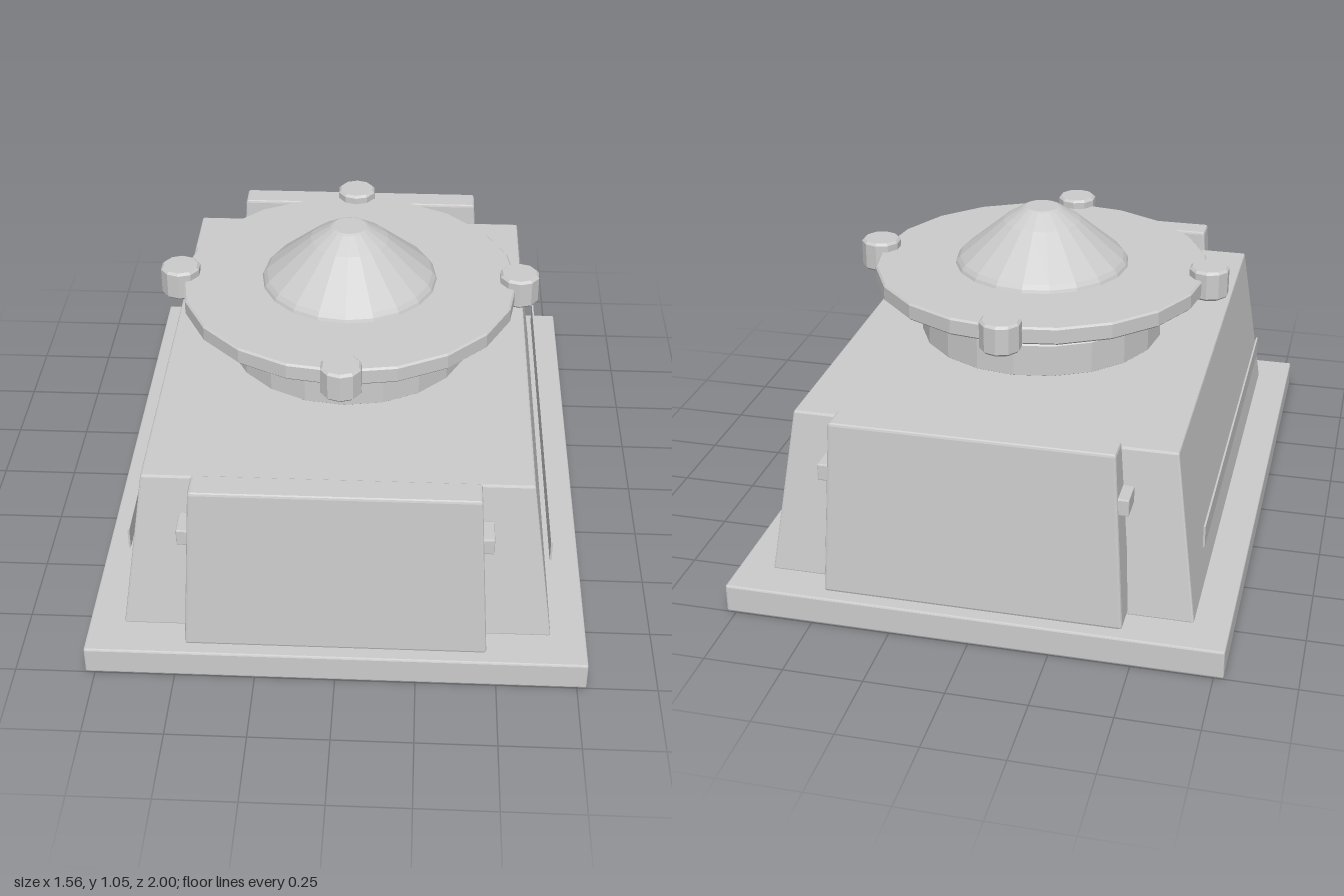
import * as THREE from 'three';
import { RoundedBoxGeometry } from 'three/addons/geometries/RoundedBoxGeometry.js';

const material = new THREE.MeshStandardMaterial({ color: 0xcccccc, flatShading: true });

function add(parent, name, geometry, x = 0, y = 0, z = 0) {
  const mesh = new THREE.Mesh(geometry, material);
  mesh.name = name;
  mesh.position.set(x, y, z);
  parent.add(mesh);
  return mesh;
}

// Chamfered block standing on y = 0, narrowing to topW x topD at its top
function taperedBlock(w, h, d, topW = w, topD = d, bevel = 0.006) {
  const g = new RoundedBoxGeometry(w, h, d, 1, bevel);
  g.translate(0, h / 2, 0);
  const p = g.attributes.position;
  for (let i = 0; i < p.count; i++) {
    const t = p.getY(i) / h;
    p.setX(i, p.getX(i) * (1 + (topW / w - 1) * t));
    p.setZ(i, p.getZ(i) * (1 + (topD / d - 1) * t));
  }
  g.computeVertexNormals();
  return g;
}

// Faceted turned part from [radius, height] pairs, bottom to top
function turned(profile, sides) {
  return new THREE.LatheGeometry(profile.map(([r, y]) => new THREE.Vector2(r, y)), sides);
}

// Disc or drum with a small chamfer on both rims
function drum(r, y0, y1, sides, b = 0.006) {
  return turned([[0, y0], [r - b, y0], [r, y0 + b], [r, y1 - b], [r - b, y1], [0, y1]], sides);
}

export function createModel() {
  const model = new THREE.Group();
  model.name = 'turretBlock';

  // Base plate and sloped hull
  add(model, 'basePlate', taperedBlock(1.56, 0.093, 2));
  add(model, 'body', taperedBlock(1.34, 0.535, 1.74, 1.19, 1.595), 0, 0.09, 0);

  for (const s of [1, -1]) {
    // End panels with a clip on each side
    const panel = new THREE.Group();
    panel.name = s > 0 ? 'frontPanel' : 'backPanel';
    panel.position.z = s * 0.893;
    model.add(panel);
    add(panel, 'panelPlate', taperedBlock(0.935, 0.575, 0.144, 0.866, 0.09, 0.009), 0, 0.098, 0);
    for (const k of [1, -1]) {
      add(panel, 'panelClip', taperedBlock(0.05, 0.055, 0.09, 0.05, 0.09, 0.004), k * 0.45, 0.475, 0);
    }
    // Thin strips standing just off the sloped sides
    add(model, s > 0 ? 'leftStrip' : 'rightStrip',
      new THREE.BoxGeometry(0.006, 0.072, 1.4), s * 0.668, 0.292, 0);
  }

  // Turret: collar, stepped dome, disc and four knobs
  const turret = new THREE.Group();
  turret.name = 'turret';
  model.add(turret);
  add(turret, 'collar', drum(0.405, 0.62, 0.735, 20));
  add(turret, 'dome', turned([
    [0, 0.73], [0.34, 0.735], [0.338, 0.742], [0.285, 0.87], [0.274, 0.884],
    [0.137, 1.0], [0.128, 1.008], [0.064, 1.049], [0.055, 1.053], [0, 1.053],
  ], 20));
  add(turret, 'disc', drum(0.555, 0.803, 0.86, 20));
  for (let i = 0; i < 4; i++) {
    const a = i * Math.PI / 2;
    add(turret, 'knob', drum(0.066, 0.79, 0.89, 10, 0.008),
      0.562 * Math.sin(a), 0, 0.562 * Math.cos(a));
  }
  return model;
}
